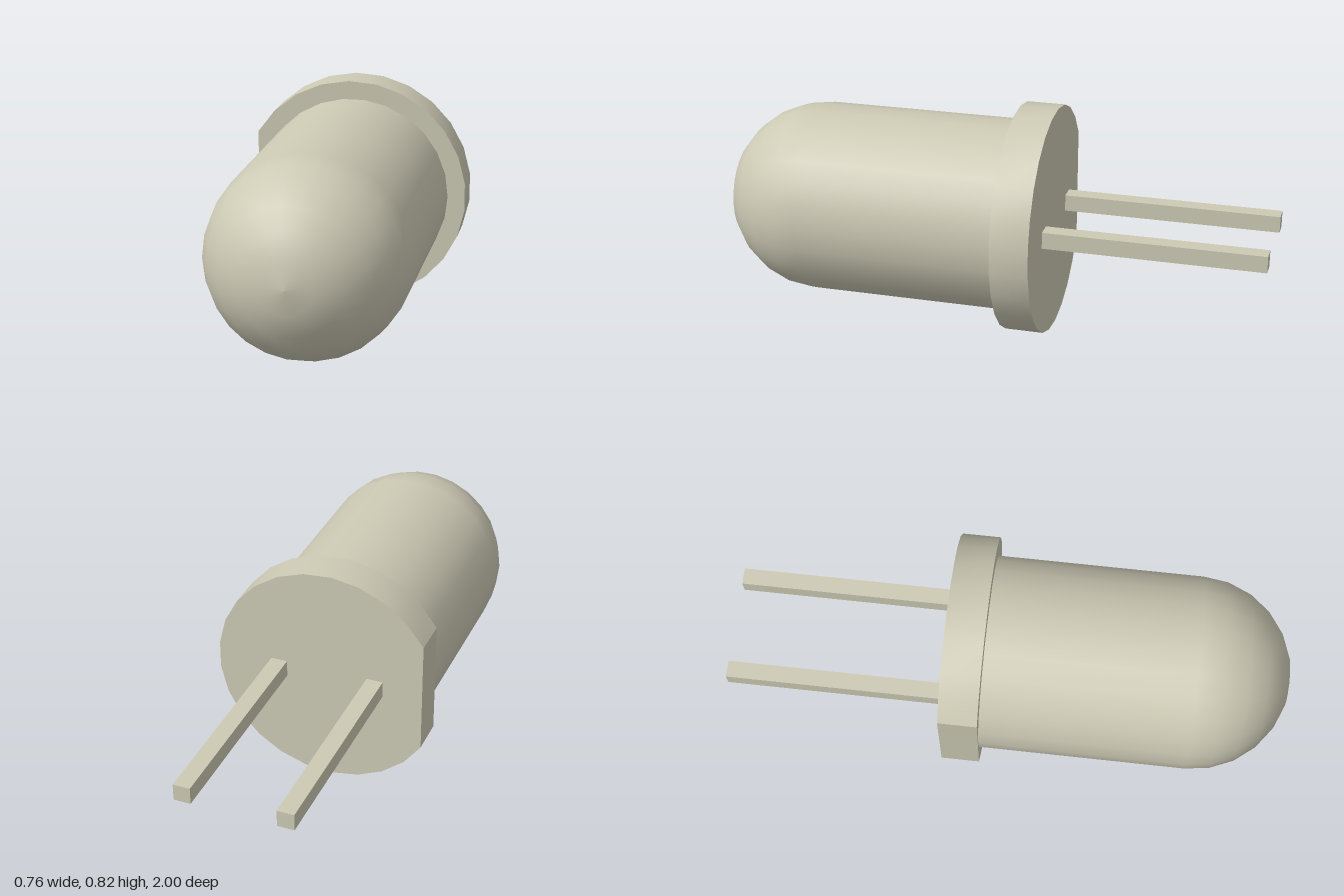
import * as THREE from 'three';
import { toCreasedNormals } from 'three/addons/utils/BufferGeometryUtils.js';

export function createModel() {
  const group = new THREE.Group();
  const material = new THREE.MeshStandardMaterial({ color: 0xccc9b4 });
  material.name = 'warm grey';

  const axisX = -0.028, axisY = 0.411;
  const backZ = -0.217, seatZ = -0.08;

  function add(name, geometry, x, y, z) {
    const mesh = new THREE.Mesh(geometry, material);
    mesh.name = name;
    mesh.position.set(x, y, z);
    group.add(mesh);
  }

  // Domed lens: a straight barrel ending in a hemisphere, turned to face +z
  const radius = 0.346, domeZ = 1 - radius, domeSteps = 6;
  const profile = [new THREE.Vector2(radius, seatZ)];
  for (let i = 0; i <= domeSteps; i++) {
    const a = (i / domeSteps) * Math.PI / 2;
    profile.push(new THREE.Vector2(i === domeSteps ? 0 : radius * Math.cos(a), domeZ + radius * Math.sin(a)));
  }
  const lens = new THREE.LatheGeometry(profile, 26, Math.PI / 2);
  lens.rotateX(Math.PI / 2);
  add('lens', lens, axisX, axisY, 0);

  // Rim: a disc with one flat side towards -x
  const rimRadius = 0.411, rimSteps = 21, halfArc = THREE.MathUtils.degToRad(149.6);
  const outline = [];
  for (let i = 0; i <= rimSteps; i++) {
    const a = -halfArc + (2 * halfArc * i) / rimSteps;
    outline.push(new THREE.Vector2(rimRadius * Math.cos(a), rimRadius * Math.sin(a)));
  }
  const rim = new THREE.ExtrudeGeometry(new THREE.Shape(outline), { depth: seatZ - backZ, bevelEnabled: false });
  add('rim', toCreasedNormals(rim, 0.5), axisX, axisY, backZ);

  // Two square pins
  const pinLength = 1 + backZ;
  const pin = new THREE.BoxGeometry(0.06, 0.06, pinLength);
  add('leftPin', pin, 0.151, 0.413, backZ - pinLength / 2);
  add('rightPin', pin, -0.208, 0.413, backZ - pinLength / 2);

  return group;
}
